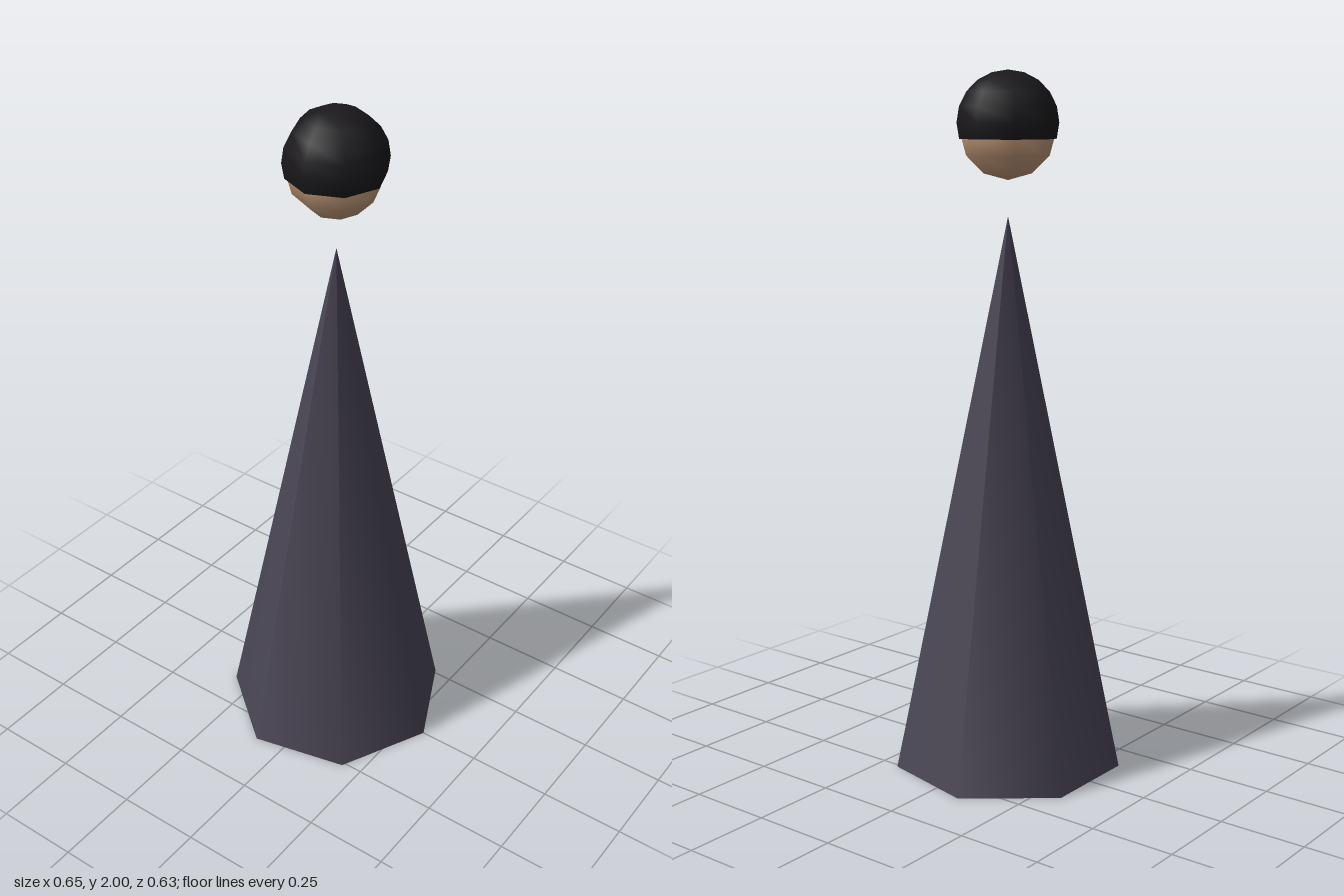
import * as THREE from 'three';

const AXIS_Z = -0.018; // shared vertical axis, offset so the seven-sided base is centred

function addPart(group, name, geometry, color, y, side = THREE.FrontSide) {
  const material = new THREE.MeshStandardMaterial({ color, side });
  const mesh = new THREE.Mesh(geometry, material);
  mesh.name = name;
  mesh.position.set(0, y, AXIS_Z);
  group.add(mesh);
}

export function createModel() {
  const model = new THREE.Group();
  model.name = 'coneFigure';

  // Robe: seven-sided closed cone, one corner facing the front
  const height = 1.6;
  addPart(model, 'robe', new THREE.ConeGeometry(0.333, height, 7), 0x4a4655, height / 2);

  // Head: low-poly ball floating above the tip
  addPart(model, 'head', new THREE.SphereGeometry(0.135, 8, 6), 0xc69c7b, 1.835);

  // Hair: open cap reaching a little below the middle of the head
  const hair = new THREE.SphereGeometry(0.143, 8, 6, 0, Math.PI * 2, 0, Math.PI * 0.6);
  addPart(model, 'hair', hair, 0x1a181b, 1.857, THREE.DoubleSide);

  return model;
}
